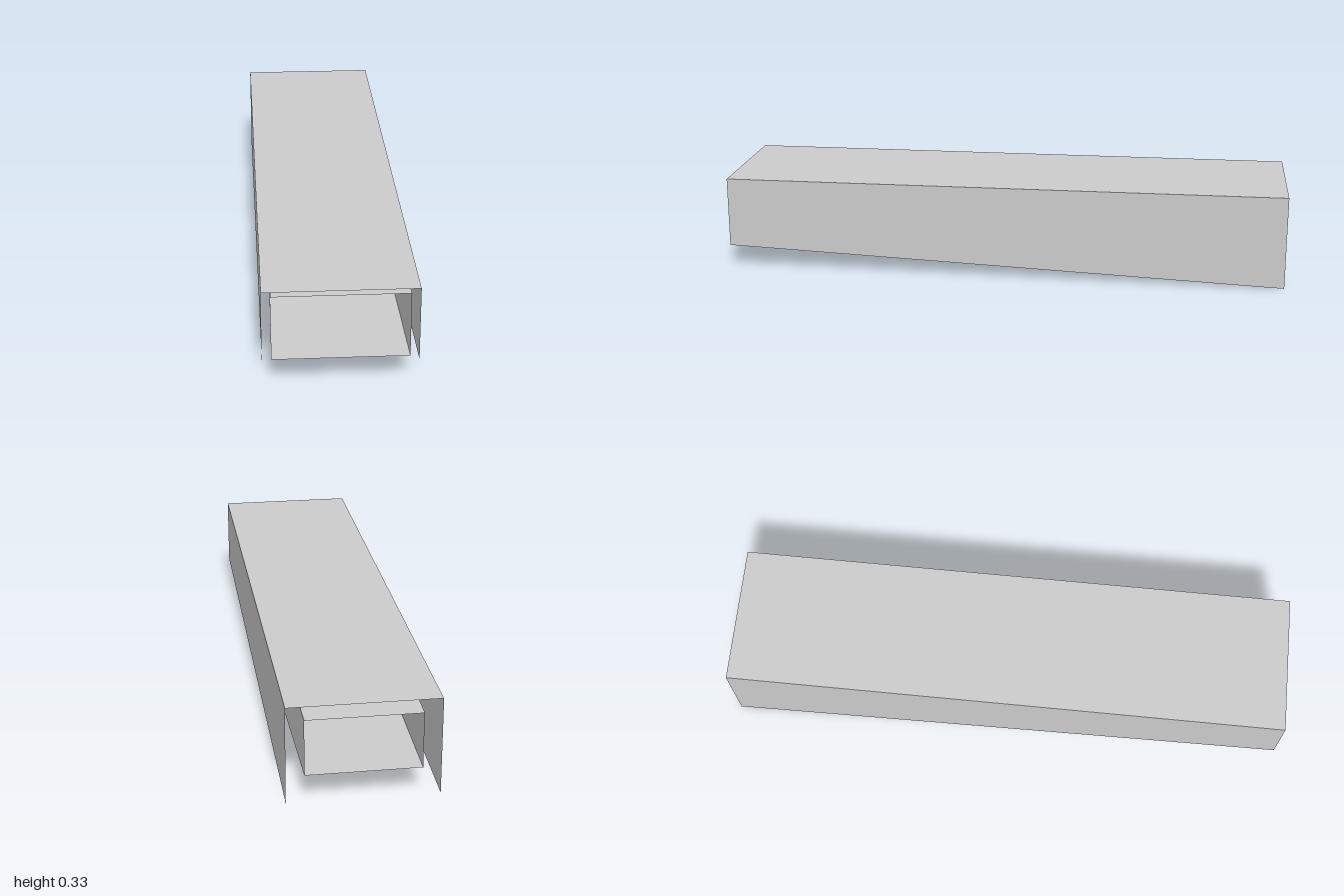
import * as THREE from 'three';

const material = new THREE.MeshStandardMaterial({
  color: 0xcccccc, flatShading: true, side: THREE.DoubleSide,
});

// Thin sheet stretched between a front (z = 1) and a back (z = -1) cross-section.
function loft(name, front, back, closed) {
  const position = [];
  const count = closed ? front.length : front.length - 1;
  for (let i = 0; i < count; i++) {
    const j = (i + 1) % front.length;
    const a = [...front[i], 1], b = [...front[j], 1];
    const c = [...back[j], -1], d = [...back[i], -1];
    position.push(...a, ...b, ...c, ...a, ...c, ...d);
  }
  const geometry = new THREE.BufferGeometry();
  geometry.setAttribute('position', new THREE.Float32BufferAttribute(position, 3));
  geometry.computeVertexNormals();
  const mesh = new THREE.Mesh(geometry, material);
  mesh.name = name;
  return mesh;
}

// Cross-section running up the left side, over the top and down the right side.
const section = (halfWidth, bottom, top) => [
  [halfWidth, bottom], [halfWidth, top], [-halfWidth, top], [-halfWidth, bottom],
];

export function createModel() {
  const group = new THREE.Group();
  group.name = 'taperedChannel';

  // Outer cover: open below and at both ends, sides deeper towards the back
  group.add(loft('outerCover', section(0.247, 0.081, 0.331), section(0.247, 0, 0.331), false));

  // Inner duct: open at both ends, level floor, narrowing towards the back
  group.add(loft('innerDuct', section(0.218, 0.095, 0.315), section(0.188, 0.095, 0.285), true));

  return group;
}
